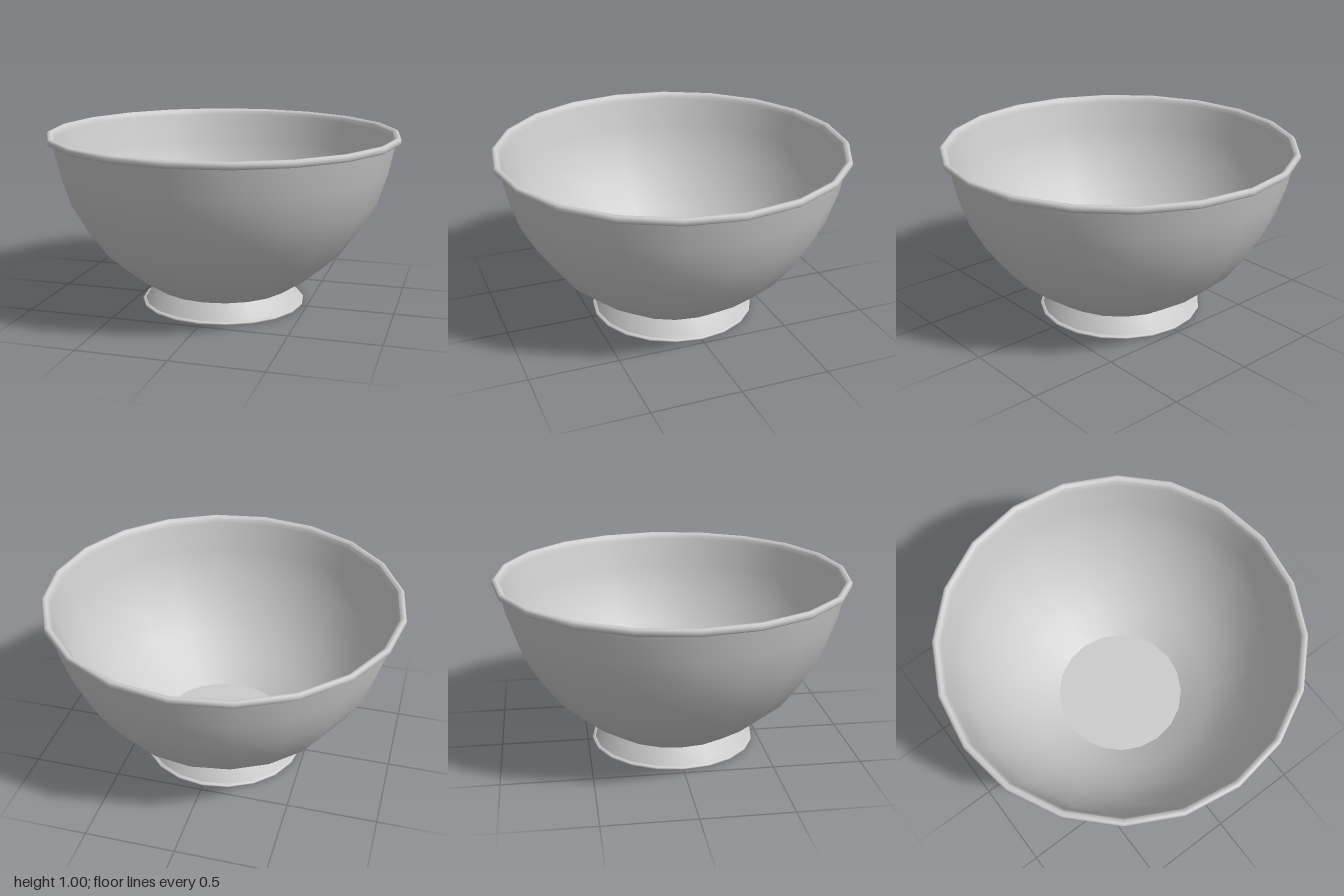
import * as THREE from 'three';

const SIDES = 20;

export function createModel() {
  const bowl = new THREE.Group();
  bowl.name = 'footedBowl';
  const material = new THREE.MeshStandardMaterial({ color: 0xcccccc });

  // Each profile is turned about y; separate profiles keep sharp creases between them.
  const turn = (name, profile, parent) => {
    const points = profile.map(([r, y]) => new THREE.Vector2(r, y));
    const mesh = new THREE.Mesh(new THREE.LatheGeometry(points, SIDES), material);
    mesh.name = name;
    parent.add(mesh);
  };

  // Bowl wall, inside and out
  const body = new THREE.Group();
  body.name = 'body';
  bowl.add(body);
  turn('outerWall', [
    [0.39, 0.1], [0.54, 0.2], [0.68, 0.32], [0.79, 0.47],
    [0.88, 0.63], [0.935, 0.8], [0.97, 0.965],
  ], body);
  turn('innerWall', [
    [0.965, 0.99], [0.95, 0.965], [0.915, 0.8], [0.86, 0.64], [0.77, 0.48],
    [0.665, 0.34], [0.53, 0.22], [0.375, 0.12],
  ], body);
  turn('innerFloor', [[0.375, 0.12], [0, 0.12]], body);

  // Rolled lip
  const rim = new THREE.Group();
  rim.name = 'rim';
  bowl.add(rim);
  turn('rimUnderside', [[0.965, 0.965], [0.99, 0.963]], rim);
  turn('rimRoll', [
    [0.99, 0.963], [1, 0.972], [1, 0.99], [0.992, 1.0], [0.978, 1.002], [0.965, 0.99],
  ], rim);

  // Flared hollow foot
  const foot = new THREE.Group();
  foot.name = 'foot';
  bowl.add(foot);
  turn('underside', [[0, 0.1], [0.385, 0.1]], foot);
  turn('footInside', [[0.385, 0.1], [0.41, 0.06], [0.445, 0.012], [0.465, 0]], foot);
  turn('footLip', [[0.465, 0], [0.472, 0.005], [0.472, 0.014], [0.455, 0.018]], foot);
  turn('footOutside', [[0.455, 0.018], [0.425, 0.065], [0.395, 0.105]], foot);

  return bowl;
}
